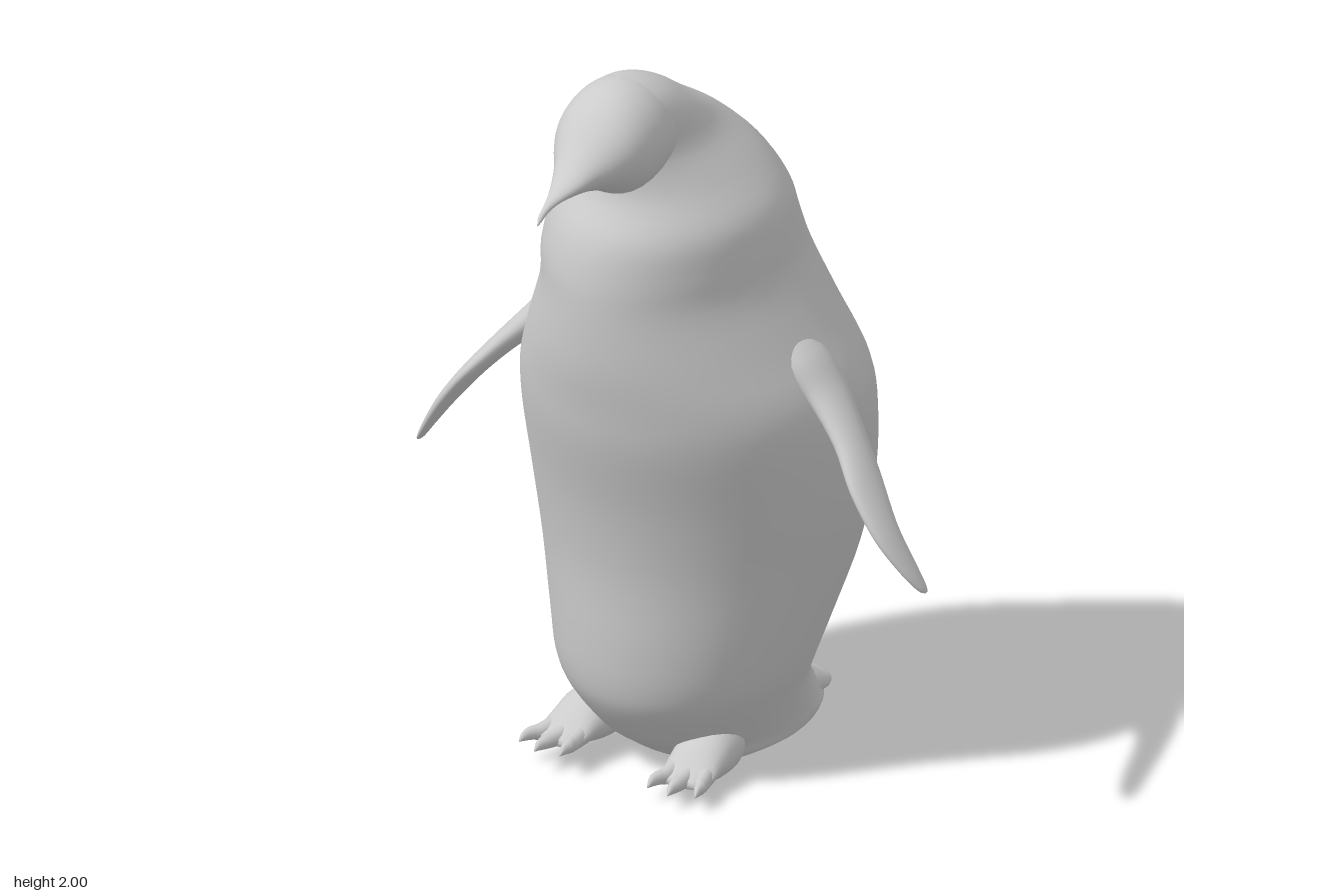
import * as THREE from 'three';

const grey = new THREE.MeshStandardMaterial({ color: 0xcccccc, side: THREE.DoubleSide });

// Catmull-Rom interpolation of every column of a table
function refine(rows, steps) {
  const out = [];
  const at = (i) => rows[Math.max(0, Math.min(rows.length - 1, i))];
  for (let i = 0; i < rows.length - 1; i++) {
    for (let s = 0; s < steps; s++) {
      const t = s / steps;
      out.push(rows[i].map((b, k) => {
        const a = at(i - 1)[k], c = at(i + 1)[k], d = at(i + 2)[k];
        return b + 0.5 * t * (c - a + t * (2 * a - 5 * b + 4 * c - d + t * (3 * (b - c) + d - a)));
      }));
    }
  }
  out.push(rows[rows.length - 1]);
  return out;
}

// Smooth closed skin over cross-sections; point(row, angle) gives [x, y, z]
function loft(name, rows, point, sides = 32, steps = 4) {
  const rings = refine(rows, steps);
  const pos = [], idx = [];
  for (const r of rings) {
    for (let j = 0; j < sides; j++) pos.push(...point(r, (j / sides) * Math.PI * 2));
  }
  for (let i = 0; i < rings.length - 1; i++) {
    for (let j = 0; j < sides; j++) {
      const a = i * sides + j, b = i * sides + ((j + 1) % sides);
      idx.push(a, b, a + sides, b, b + sides, a + sides);
    }
  }
  // end caps
  [0, rings.length - 1].forEach((ring, end) => {
    const c = [0, 0, 0], s = ring * sides;
    for (let j = 0; j < sides; j++) for (let k = 0; k < 3; k++) c[k] += pos[(s + j) * 3 + k] / sides;
    const m = pos.length / 3;
    pos.push(...c);
    for (let j = 0; j < sides; j++) {
      const a = s + j, b = s + ((j + 1) % sides);
      if (end) idx.push(m, a, b); else idx.push(m, b, a);
    }
  });
  // turn the faces outward if the enclosed volume is negative
  const v = (i) => new THREE.Vector3().fromArray(pos, i * 3);
  let volume = 0;
  for (let i = 0; i < idx.length; i += 3) volume += v(idx[i]).dot(v(idx[i + 1]).cross(v(idx[i + 2])));
  if (volume < 0) idx.reverse();
  const g = new THREE.BufferGeometry();
  g.setAttribute('position', new THREE.Float32BufferAttribute(pos, 3));
  g.setIndex(idx);
  g.computeVertexNormals();
  const mesh = new THREE.Mesh(g, grey);
  mesh.name = name;
  return mesh;
}

// ring in the XY plane for lofts that run along z: [z, x, halfWidth, top, bottom]
const ringXY = ([z, x, w, top, bottom], a) =>
  [x + w * Math.cos(a), (top + bottom) / 2 + ((top - bottom) / 2) * Math.sin(a), z];

function makeBody() {
  // y, left x, right x, front z, back z
  const rows = [
    [0.015, -0.17, 0.15, -0.03, -0.30], [0.03, -0.25, 0.19, 0.00, -0.50], [0.06, -0.30, 0.205, 0.04, -0.58],
    [0.10, -0.32, 0.215, 0.09, -0.55], [0.20, -0.355, 0.25, 0.17, -0.46], [0.28, -0.38, 0.285, 0.20, -0.443],
    [0.40, -0.40, 0.325, 0.215, -0.48], [0.60, -0.435, 0.385, 0.23, -0.545], [0.80, -0.455, 0.43, 0.27, -0.56],
    [1.00, -0.455, 0.45, 0.33, -0.545], [1.12, -0.44, 0.435, 0.355, -0.52], [1.25, -0.39, 0.37, 0.378, -0.48],
    [1.40, -0.33, 0.30, 0.385, -0.43], [1.50, -0.32, 0.287, 0.38, -0.385], [1.60, -0.29, 0.27, 0.355, -0.34],
    [1.70, -0.235, 0.20, 0.295, -0.28], [1.80, -0.165, 0.125, 0.29, -0.17], [1.89, -0.145, 0.105, 0.32, -0.03],
    [1.95, -0.115, 0.075, 0.32, 0.06], [1.985, -0.07, 0.03, 0.29, 0.14], [2.0, -0.022, -0.018, 0.23, 0.22],
  ];
  return loft('body', rows, ([y, l, r, f, b], a) => {
    // widest line lies behind the middle, so the chest narrows more than the back
    const mid = b + (f - b) * 0.45, c = Math.cos(a), s = Math.sin(a);
    return [(l + r) / 2 + ((r - l) / 2) * c, y, mid + s * (s > 0 ? f - mid : mid - b)];
  }, 56);
}

function makeHead() {
  // skull running into a slim, slightly hooked beak
  return loft('headAndBeak', [
    [0.06, -0.02, 0.06, 1.90, 1.76], [0.12, -0.02, 0.115, 1.962, 1.72], [0.20, -0.02, 0.135, 1.996, 1.70],
    [0.27, -0.02, 0.135, 1.995, 1.70], [0.33, -0.02, 0.122, 1.968, 1.73], [0.38, -0.02, 0.098, 1.925, 1.752],
    [0.43, -0.02, 0.066, 1.872, 1.767], [0.48, -0.02, 0.042, 1.828, 1.774], [0.53, -0.02, 0.022, 1.802, 1.774],
    [0.57, -0.02, 0.011, 1.785, 1.765], [0.60, -0.02, 0.007, 1.768, 1.750], [0.613, -0.02, 0.002, 1.75, 1.742],
  ], ringXY, 36);
}

function makeFlipper(name, side, edges) {
  // spine point, thickness; edges hold the rear and front z of each section
  const spine = [[0.27, 1.28, 0.03], [0.36, 1.21, 0.045], [0.43, 1.135, 0.04], [0.52, 1.045, 0.03],
    [0.60, 0.955, 0.024], [0.68, 0.855, 0.02], [0.74, 0.77, 0.014], [0.775, 0.715, 0.008], [0.785, 0.70, 0.002]];
  const rows = spine.map((s, i) => [...s, ...edges[i]]);
  return loft(name, rows, ([x, y, t, back, front], a) => {
    const c = Math.cos(a) * t;
    return [side * (x + 0.76 * c), y + 0.65 * c, (back + front) / 2 + ((front - back) / 2) * Math.sin(a)];
  }, 24);
}

function makeFoot(name, x, y, turn) {
  const foot = new THREE.Group();
  foot.name = name;
  foot.add(loft('instep', [
    [-0.12, 0, 0.04, 0.10, 0.02], [-0.06, 0, 0.07, 0.14, 0.0], [0.01, 0, 0.078, 0.14, 0.0],
    [0.07, 0, 0.074, 0.11, 0.012], [0.12, 0, 0.07, 0.07, 0.022], [0.155, 0, 0.055, 0.05, 0.03],
  ], ringXY, 20));
  for (const k of [-1, 0, 1]) {
    // toe ending in a curved claw
    const reach = 0.225 - 0.02 * Math.abs(k);
    foot.add(loft('toe', [
      [0.08, k * 0.042, 0.024, 0.08, 0.022], [0.14, k * 0.052, 0.021, 0.068, 0.024],
      [reach - 0.04, k * 0.061, 0.017, 0.066, 0.03], [reach - 0.015, k * 0.065, 0.009, 0.06, 0.034],
      [reach, k * 0.067, 0.002, 0.042, 0.036],
    ], ringXY, 12));
  }
  foot.position.set(x, y, 0);
  foot.rotation.y = turn;
  return foot;
}

function makeTail() {
  const tail = new THREE.Group();
  tail.name = 'tail';
  tail.add(loft('tailFan', [
    [-0.25, -0.04, 0.20, 0.18, 0.016], [-0.38, -0.04, 0.21, 0.19, 0.018], [-0.44, -0.035, 0.205, 0.165, 0.022],
    [-0.50, -0.03, 0.185, 0.12, 0.03], [-0.55, -0.03, 0.155, 0.088, 0.04], [-0.585, -0.03, 0.11, 0.072, 0.05],
  ], ringXY, 32));
  // ragged feather tips
  const tips = [[-0.155, 0.555], [-0.11, 0.61], [-0.065, 0.595], [-0.015, 0.617], [0.035, 0.59], [0.09, 0.57]];
  for (const [x, end] of tips) {
    tail.add(loft('tailFeather', [
      [-0.42, x * 0.8, 0.035, 0.12, 0.03], [-0.50, x * 0.95, 0.037, 0.10, 0.034],
      [-end + 0.03, x, 0.03, 0.078, 0.042], [-end, x, 0.013, 0.064, 0.052],
    ], ringXY, 12));
  }
  return tail;
}

export function createModel() {
  const model = new THREE.Group();
  model.name = 'penguin';
  model.add(makeBody(), makeHead(), makeTail());
  model.add(makeFlipper('leftFlipper', 1, [[-0.06, 0.02], [-0.12, 0.035], [-0.115, 0.03], [-0.065, 0.06],
    [-0.02, 0.115], [0.03, 0.132], [0.04, 0.11], [0.042, 0.08], [0.05, 0.06]]));
  model.add(makeFlipper('rightFlipper', -1, [[-0.10, -0.02], [-0.16, -0.01], [-0.15, -0.005], [-0.125, 0.015],
    [-0.09, 0.045], [-0.072, 0.025], [-0.068, -0.005], [-0.065, -0.025], [-0.055, -0.04]]));
  model.add(makeFoot('leftFoot', 0.105, 0.0, 0.08), makeFoot('rightFoot', -0.24, 0.025, -0.15));
  return model;
}
